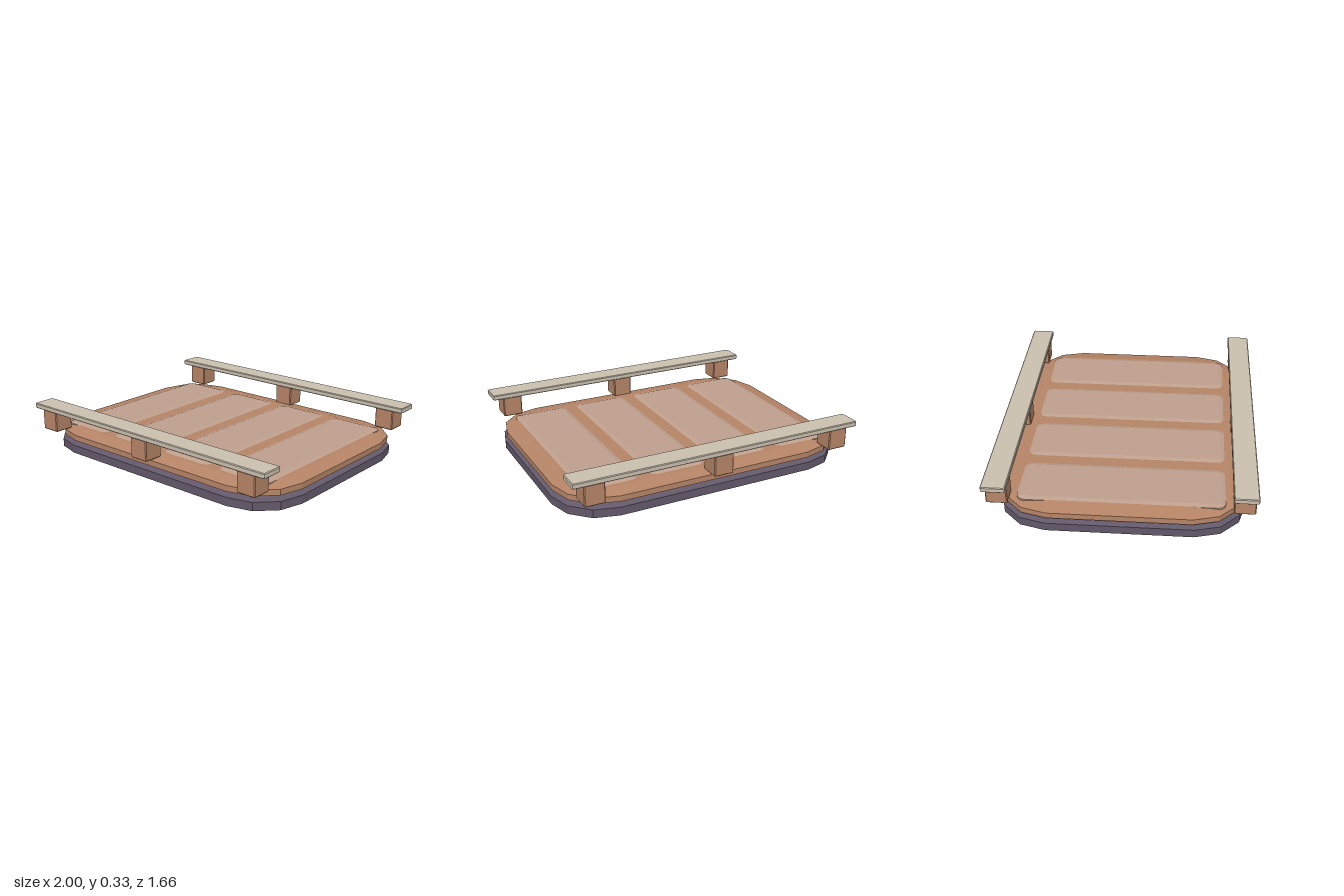
import * as THREE from 'three';

// Rounded-rectangle outline with `seg` facets per corner, shrunk by `inset`
function outline(hx, hz, r, seg, inset) {
  const pts = [];
  const rr = Math.max(r - inset, 0.002);
  const cx = hx - inset - rr, cz = hz - inset - rr;
  [[1, 1], [-1, 1], [-1, -1], [1, -1]].forEach(([sx, sz], q) => {
    for (let k = 0; k <= seg; k++) {
      const a = (q + k / seg) * Math.PI / 2;
      pts.push([sx * cx + rr * Math.cos(a), sz * cz + rr * Math.sin(a)]);
    }
  });
  return pts;
}

// Closed faceted slab stacked from [height, inset] levels
function slab(hx, hz, r, seg, levels) {
  const pos = [];
  const rings = levels.map(([y, inset]) =>
    outline(hx, hz, r, seg, inset).map(([x, z]) => [x, y, z]));
  const n = rings[0].length;
  const bottom = [0, levels[0][0], 0];
  const top = [0, levels[levels.length - 1][0], 0];
  for (let i = 0; i < n; i++) {
    const m = (i + 1) % n;
    for (let j = 0; j < rings.length - 1; j++) {
      const a = rings[j][i], b = rings[j][m], c = rings[j + 1][m], d = rings[j + 1][i];
      pos.push(...a, ...d, ...b, ...b, ...d, ...c);
    }
    const last = rings[rings.length - 1];
    pos.push(...bottom, ...rings[0][i], ...rings[0][m]);
    pos.push(...top, ...last[m], ...last[i]);
  }
  const g = new THREE.BufferGeometry();
  g.setAttribute('position', new THREE.Float32BufferAttribute(pos, 3));
  g.computeVertexNormals();
  return g;
}

function material(name, color) {
  const m = new THREE.MeshStandardMaterial({ color, flatShading: true });
  m.name = name;
  return m;
}

export function createModel() {
  const model = new THREE.Group();
  model.name = 'railedPlatform';
  const dark = material('dark purple', 0x625869);
  const wood = material('brown wood', 0xb58466);
  const pale = material('pale plank', 0xbd9e8c);
  const cream = material('cream rail', 0xc9bfae);

  const add = (name, geo, mat, x = 0, z = 0) => {
    const mesh = new THREE.Mesh(geo, mat);
    mesh.name = name;
    mesh.position.set(x, 0, z);
    model.add(mesh);
  };

  // Dark underside and wooden deck
  add('base', slab(1, 0.775, 0.32, 3,
    [[0, 0.11], [0.028, 0], [0.083, 0], [0.1, 0.05]]), dark);
  add('deck', slab(0.988, 0.765, 0.32, 3,
    [[0.096, 0.05], [0.115, 0], [0.153, 0], [0.173, 0.1]]), wood);

  // Four raised planks
  const plank = slab(0.19, 0.645, 0.05, 3, [[0.15, 0], [0.172, 0], [0.181, 0.03]]);
  for (let i = 0; i < 4; i++) add('plank', plank, pale, -0.7 + i * 0.46);

  // Posts and rails along the front and back
  const post = slab(0.067, 0.067, 0.006, 1,
    [[0.162, 0.006], [0.168, 0], [0.302, 0]]);
  const rail = slab(1, 0.076, 0.012, 2,
    [[0.299, 0.005], [0.304, 0], [0.329, 0], [0.334, 0.005]]);
  for (const side of [-1, 1]) {
    for (const x of [-0.86, 0, 0.86]) add('post', post, wood, x, side * 0.756);
    add('rail', rail, cream, 0, side * 0.756);
  }
  return model;
}
